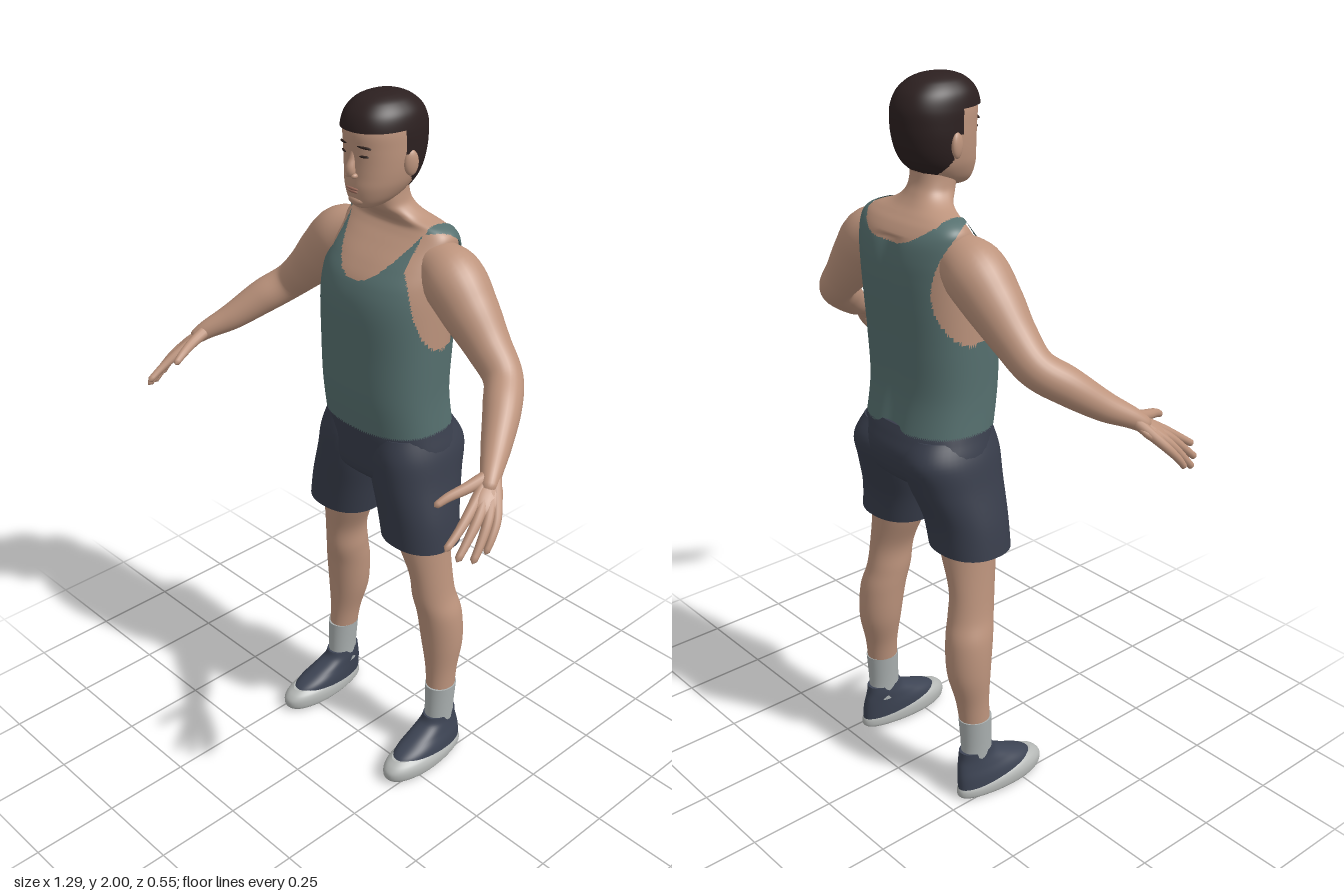
import * as THREE from 'three';
import { mergeVertices, mergeGeometries } from 'three/addons/utils/BufferGeometryUtils.js';

const colour = (name, hex, side = THREE.FrontSide) => {
  const m = new THREE.MeshStandardMaterial({ color: hex, side });
  m.name = name;
  return m;
};

// Catmull-Rom value at t (0..1) through a list of numbers
function spline(v, t) {
  const f = t * (v.length - 1), i = Math.min(Math.floor(f), v.length - 2), k = f - i;
  const b = v[i], c = v[i + 1], a = v[i - 1] ?? b, d = v[i + 2] ?? c;
  return b + 0.5 * k * (c - a + k * (2 * a - 5 * b + 4 * c - d + k * (3 * (b - c) + d - a)));
}

// Horizontal sections [y, centre x, half width, front z, back z], bottom to top
function loft(rows, { n = 48, steps = 6, power = 2, grow = 0, side = 1, warp, keep } = {}) {
  const count = (rows.length - 1) * steps, pos = [], index = [];
  const levels = [[0, 0], [0, 1]];
  for (let i = 0; i <= count; i++) levels.push([i / count, 1]);
  levels.push([1, 1], [1, 0]);
  const p = new THREE.Vector3();
  const bend = (c) => Math.sign(c) * Math.abs(c) ** (2 / power);
  for (const [t, s] of levels) {
    const [y, cx, rx, zf, zb] = [0, 1, 2, 3, 4].map((k) => spline(rows.map((r) => r[k]), t));
    for (let j = 0; j < n; j++) {
      const a = (j / n) * Math.PI * 2;
      p.set(side * cx + s * (rx + grow) * bend(Math.cos(a)), y,
        (zf + zb) / 2 + s * ((zf - zb) / 2 + grow) * bend(Math.sin(a)));
      if (warp) warp(p, side * cx);
      pos.push(p.x, p.y, p.z);
    }
  }
  for (let i = 0; i < levels.length - 1; i++) for (let j = 0; j < n; j++) {
    const a = i * n + j, b = i * n + (j + 1) % n;
    index.push(a, a + n, b, b, a + n, b + n);
  }
  const g = new THREE.BufferGeometry();
  g.setAttribute('position', new THREE.Float32BufferAttribute(pos, 3));
  g.setIndex(index);
  g.computeVertexNormals();
  if (keep) { // cut openings out of a garment
    const kept = [];
    for (let i = 0; i < index.length; i += 3) {
      const tri = index.slice(i, i + 3);
      const mid = [0, 1, 2].map((k) => tri.reduce((sum, v) => sum + pos[v * 3 + k] / 3, 0));
      if (keep(...mid)) kept.push(...tri);
    }
    g.setIndex(kept);
  }
  return g;
}

// Round limb along points [x, y, z, radius] with a rounded tip
function limb(points, side, segments = 40, radial = 20) {
  const curve = new THREE.CatmullRomCurve3(points.map((q) => new THREE.Vector3(q[0] * side, q[1], q[2])));
  const g = new THREE.TubeGeometry(curve, segments, 1, radial), pos = g.attributes.position;
  const radii = points.map((q) => q[3]), length = curve.getLength(), v = new THREE.Vector3();
  for (let i = 0; i <= segments; i++) {
    const u = i / segments, c = curve.getPointAt(u);
    let r = spline(radii, curve.getUtoTmapping(u));
    const k = Math.min(1, ((1 - u) * length) / r);
    r *= Math.sqrt(Math.max(0.0004, 1 - (1 - k) ** 2));
    for (let j = 0; j <= radial; j++) {
      const id = i * (radial + 1) + j;
      v.fromBufferAttribute(pos, id).sub(c).multiplyScalar(r).add(c);
      pos.setXYZ(id, v.x, v.y, v.z);
    }
  }
  g.deleteAttribute('uv');
  g.deleteAttribute('normal');
  const merged = mergeVertices(g, 1e-6);
  merged.computeVertexNormals();
  return merged;
}

const TORSO = [
  [1.09, 0, 0.185, 0.022, -0.258], [1.2, 0, 0.183, 0.037, -0.243], [1.33, 0, 0.187, 0.04, -0.248],
  [1.45, 0, 0.19, 0.04, -0.258], [1.52, 0, 0.19, 0.024, -0.262], [1.57, 0, 0.189, -0.008, -0.26],
  [1.615, 0, 0.186, -0.048, -0.25], [1.645, 0, 0.18, -0.075, -0.232], [1.665, 0, 0.155, -0.085, -0.212],
  [1.685, 0, 0.1, -0.07, -0.192], [1.71, 0, 0.07, -0.045, -0.175], [1.74, 0, 0.062, -0.035, -0.163],
  [1.79, 0, 0.06, -0.03, -0.16]];
const HEAD = [
  [1.718, 0, 0.02, -0.005, -0.06], [1.726, 0, 0.038, 0.008, -0.09], [1.745, 0, 0.057, 0.016, -0.13],
  [1.775, 0, 0.073, 0.021, -0.168], [1.805, 0, 0.081, 0.02, -0.187], [1.84, 0, 0.085, 0.02, -0.198],
  [1.875, 0, 0.086, 0.022, -0.203], [1.915, 0, 0.085, 0.024, -0.202], [1.95, 0, 0.077, 0.012, -0.186],
  [1.975, 0, 0.057, -0.012, -0.158], [1.988, 0, 0.033, -0.04, -0.128], [1.993, 0, 0.01, -0.07, -0.1]];
const LEG = [
  [0.2, 0.214, 0.038, -0.09, -0.18], [0.3, 0.208, 0.045, -0.095, -0.19], [0.4, 0.2, 0.06, -0.088, -0.212],
  [0.5, 0.193, 0.063, -0.075, -0.21], [0.57, 0.182, 0.057, -0.06, -0.195], [0.65, 0.175, 0.055, -0.05, -0.187],
  [0.765, 0.148, 0.074, -0.03, -0.19], [0.9, 0.13, 0.085, -0.02, -0.2]];
const ARM = [
  [0.12, 1.585, -0.14, 0.06], [0.2, 1.55, -0.137, 0.082], [0.27, 1.485, -0.132, 0.075],
  [0.34, 1.415, -0.127, 0.06], [0.405, 1.355, -0.115, 0.051], [0.455, 1.31, -0.06, 0.049],
  [0.51, 1.25, 0.02, 0.038], [0.55, 1.215, 0.08, 0.027], [0.575, 1.186, 0.118, 0.02]];
// wrist, knuckle, middle joint and tip of each finger, thumb last
const FINGERS = [
  [[0.547, 1.213, 0.085, 0.016], [0.572, 1.163, 0.172, 0.014], [0.582, 1.13, 0.225, 0.011], [0.585, 1.1, 0.272, 0.009]],
  [[0.552, 1.213, 0.083, 0.016], [0.592, 1.155, 0.164, 0.014], [0.604, 1.112, 0.215, 0.011], [0.61, 1.075, 0.257, 0.009]],
  [[0.556, 1.213, 0.08, 0.016], [0.609, 1.147, 0.15, 0.013], [0.624, 1.1, 0.192, 0.011], [0.63, 1.064, 0.224, 0.009]],
  [[0.56, 1.213, 0.075, 0.016], [0.62, 1.143, 0.132, 0.012], [0.633, 1.108, 0.163, 0.01], [0.637, 1.077, 0.187, 0.008]],
  [[0.548, 1.215, 0.085, 0.018], [0.535, 1.2, 0.145, 0.015], [0.518, 1.186, 0.195, 0.012], [0.507, 1.17, 0.23, 0.009]]];

// tank top outline: scooped neck and deep armholes
function onTank(x, y, z) {
  const ax = Math.abs(x), s = Math.min(1, ax / 0.13);
  if (y < 1.1 || y > 1.675) return false;
  if (ax < 0.135 && y > (z > -0.15 ? 1.53 + 0.125 * s ** 2.2 : 1.605 + 0.05 * s ** 2.5)) return false;
  return !(ax > 0.13 && ((y - 1.505) / 0.155) ** 2 + ((z + 0.125) / 0.1) ** 2 < 1);
}

// short hair with sideburns and nape
function onScalp(x, y, z) {
  if (z > -0.075) return y > 1.92;
  if (z > -0.1) return y > 1.86;
  return y > Math.max(1.755, 1.8 + (z + 0.1) * 1.5);
}

export function createModel() {
  const model = new THREE.Group();
  model.name = 'standingMan';
  const skin = colour('skin', 0xbd947d), tank = colour('tankFabric', 0x56706f, THREE.DoubleSide);
  const shorts = colour('shortsFabric', 0x383d4b), hair = colour('hair', 0x2c2020, THREE.DoubleSide);
  const sock = colour('sock', 0xaab0b0), shoe = colour('shoeUpper', 0x3d4454);
  const sole = colour('shoeSole', 0xb4b7b5), dark = colour('browAndEye', 0x30231f), lip = colour('lips', 0x9c6c5d);
  const add = (name, geometry, material) => {
    const mesh = new THREE.Mesh(geometry, material);
    mesh.name = name;
    model.add(mesh);
    return mesh;
  };
  const blob = (name, material, p, size, turn = 0, tilt = 0) => {
    const m = add(name, new THREE.SphereGeometry(1, 20, 14), material);
    m.position.set(...p);
    m.scale.set(...size);
    m.rotation.set(0, turn, tilt);
    return m;
  };

  // torso with a shallow spine groove, and the tank top over it
  const groove = (p) => {
    if (p.z < -0.18 && p.y < 1.62) p.z += 0.012 * Math.exp(-((p.x / 0.035) ** 2));
  };
  add('torsoAndNeck', loft(TORSO, { n: 72, power: 2.4, grow: -0.007, warp: groove }), skin);
  add('tankTop', loft(TORSO, { n: 180, steps: 10, power: 2.4, warp: groove, keep: onTank }), tank);

  // head, hair and face
  add('head', loft(HEAD, { power: 2.15 }), skin);
  add('hair', loft(HEAD, {
    n: 120, steps: 10, power: 2.15, grow: 0.007, keep: onScalp, warp: (p) => { p.y += 0.006; },
  }), hair);
  add('nose', limb([[0, 1.878, 0.012, 0.007], [0, 1.85, 0.019, 0.009], [0, 1.825, 0.026, 0.013],
    [0, 1.806, 0.021, 0.013]], 1, 20, 16), skin);
  blob('upperLip', lip, [0, 1.774, 0.02], [0.022, 0.004, 0.0045]);
  blob('lowerLip', lip, [0, 1.767, 0.019], [0.018, 0.004, 0.0045]);
  blob('chin', skin, [0, 1.742, 0.004], [0.026, 0.014, 0.016]);

  // shorts seat
  add('shortsSeat', loft([
    [0.925, 0, 0.1, -0.03, -0.18], [0.95, 0, 0.185, 0.002, -0.235], [0.985, 0, 0.207, 0.012, -0.262],
    [1.04, 0, 0.2, 0.014, -0.274], [1.085, 0, 0.188, 0.017, -0.262], [1.115, 0, 0.18, 0.016, -0.25],
  ], { power: 2.35 }), shorts);

  // the heel is narrower and its sole thinner than the toe
  const lastShape = (p, cx) => {
    const k = THREE.MathUtils.smoothstep(p.z, -0.2, 0.0);
    p.x = cx + (p.x - cx) * (0.82 + 0.18 * k);
    p.y *= 0.7 + 0.3 * k;
  };
  const upperShape = (p, cx) => {
    p.x = cx + (p.x - cx) * (0.84 + 0.16 * THREE.MathUtils.smoothstep(p.z, -0.2, 0.0));
  };

  for (const side of [1, -1]) {
    const tag = side > 0 ? 'left' : 'right';
    // face details
    blob(tag + 'Ear', skin, [side * 0.09, 1.835, -0.095], [0.011, 0.033, 0.02], side * -0.3);
    blob(tag + 'Eye', dark, [side * 0.034, 1.861, 0.0125], [0.014, 0.0035, 0.004], side * 0.3);
    blob(tag + 'Brow', dark, [side * 0.036, 1.884, 0.0135], [0.02, 0.0035, 0.004], side * 0.33, side * -0.08);
    blob(tag + 'Nostril', skin, [side * 0.011, 1.809, 0.022], [0.008, 0.007, 0.01]);

    // arm and hand
    add(tag + 'Arm', limb(ARM, side, 60, 28), skin);
    add(tag + 'Fingers', mergeGeometries(FINGERS.map((f) => limb(f, side, 24, 12))), skin);
    const across = new THREE.Vector3(side * 0.05, -0.025, -0.04).normalize();
    const along = new THREE.Vector3(side * 0.05, -0.065, 0.08);
    along.addScaledVector(across, -along.dot(across)).normalize();
    const palm = blob(tag + 'Palm', skin, [side * 0.579, 1.18, 0.12], [0.036, 0.055, 0.017]);
    palm.quaternion.setFromRotationMatrix(
      new THREE.Matrix4().makeBasis(across, along, across.clone().cross(along)));

    // leg, shorts leg and sock
    add(tag + 'Leg', loft(LEG, { side, n: 36 }), skin);
    add(tag + 'ShortsLeg', loft([
      [0.765, 0.148, 0.112, 0.0, -0.205], [0.85, 0.133, 0.113, 0.004, -0.215], [0.95, 0.109, 0.112, 0.011, -0.25],
      [1.03, 0.1, 0.104, 0.012, -0.273], [1.09, 0.09, 0.09, 0.0, -0.245],
    ], { side, power: 2.25 }), shorts);
    add(tag + 'Sock', loft([
      [0.1, 0.214, 0.037, -0.085, -0.183], [0.16, 0.214, 0.038, -0.086, -0.181], [0.25, 0.213, 0.043, -0.088, -0.187],
    ], { side, n: 36 }), sock);

    // shoe
    add(tag + 'ShoeSole', loft([
      [0, 0.224, 0.045, 0.075, -0.192], [0.012, 0.224, 0.058, 0.092, -0.205], [0.035, 0.224, 0.06, 0.095, -0.206],
      [0.052, 0.223, 0.055, 0.083, -0.2], [0.064, 0.222, 0.045, 0.062, -0.19],
    ], { side, power: 2.2, warp: lastShape }), sole);
    add(tag + 'ShoeUpper', loft([
      [0.025, 0.224, 0.054, 0.07, -0.203], [0.065, 0.221, 0.053, 0.052, -0.203], [0.095, 0.217, 0.047, -0.01, -0.199],
      [0.122, 0.214, 0.043, -0.065, -0.192], [0.145, 0.214, 0.041, -0.08, -0.189],
    ], { side, power: 2.15, warp: upperShape }), shoe);
  }
  return model;
}
